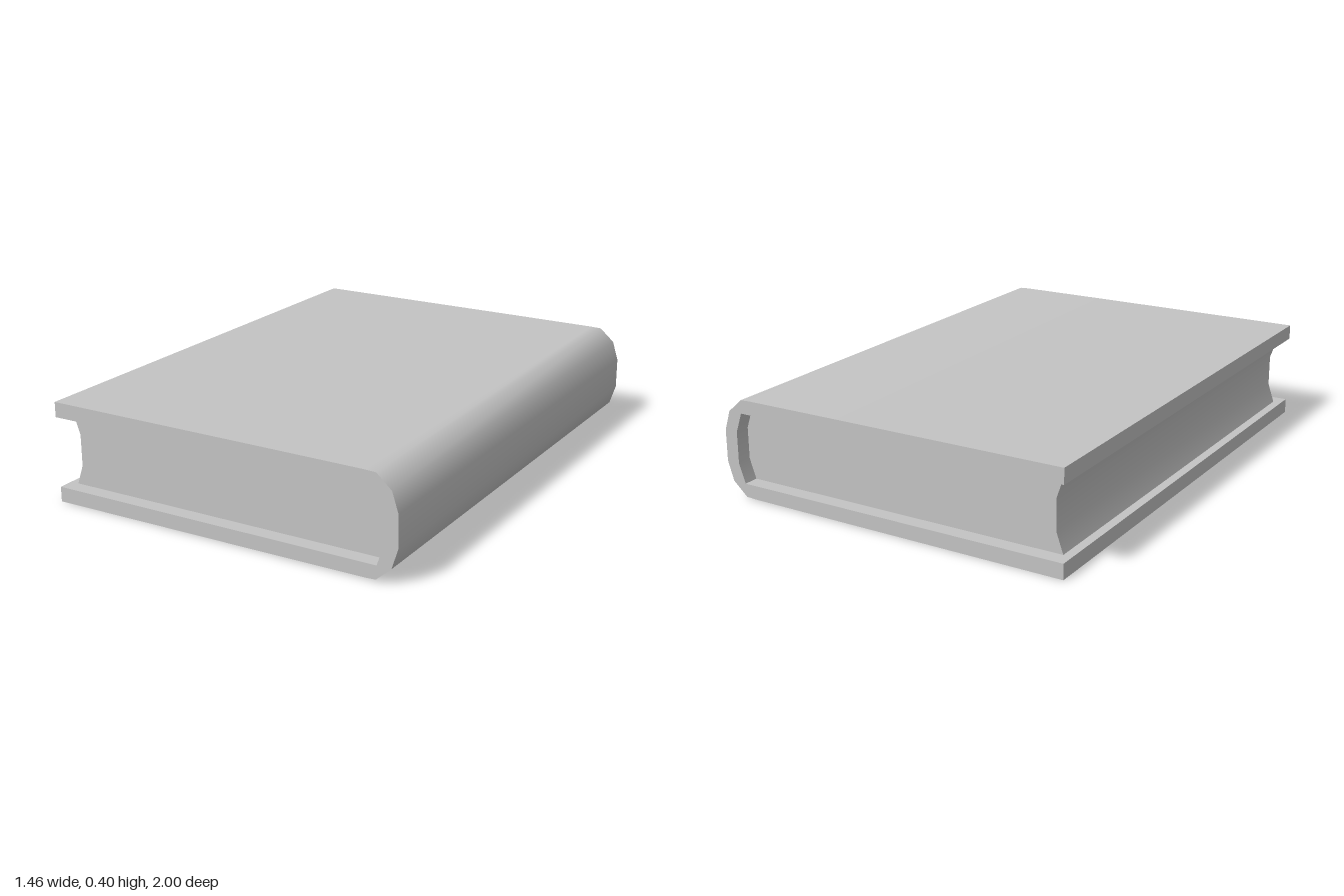
import * as THREE from 'three';
import { toCreasedNormals } from 'three/addons/utils/BufferGeometryUtils.js';

const grey = new THREE.MeshStandardMaterial({ color: 0xc4c4c4 });
grey.name = 'plain grey';

// Extrudes a front profile along z, centred, with smooth curves and sharp corners
function extrudeProfile(name, points, length) {
  const shape = new THREE.Shape(points.map(([x, y]) => new THREE.Vector2(x, y)));
  const geometry = new THREE.ExtrudeGeometry(shape, { depth: length, bevelEnabled: false });
  geometry.translate(0, 0, -length / 2);
  const mesh = new THREE.Mesh(toCreasedNormals(geometry, 0.8), grey);
  mesh.name = name;
  return mesh;
}

// Completes a lower half profile by mirroring it about the mid height
const HEIGHT = 0.4;
const mirrored = (half) => [...half, ...half.map(([x, y]) => [x, HEIGHT - y]).reverse()];

export function createModel() {
  const book = new THREE.Group();
  book.name = 'book';

  // Two boards joined by a rounded spine
  const outer = mirrored([[-0.732, 0], [0.2, 0.003], [0.6, 0.005], [0.645, 0.007], [0.705, 0.06], [0.73, 0.138]]);
  const inner = mirrored([[-0.732, 0.06], [0.648, 0.06], [0.675, 0.138]]).reverse();
  book.add(extrudeProfile('cover', [...outer, ...inner], 2));

  // Page block with a hollow fore edge, set in from the cover ends
  const spineSide = mirrored([[0.648, 0.06], [0.675, 0.138]]);
  const foreEdge = mirrored([[-0.697, 0.06], [-0.67, 0.138]]).reverse();
  book.add(extrudeProfile('pages', [...spineSide, ...foreEdge], 1.88));

  return book;
}
